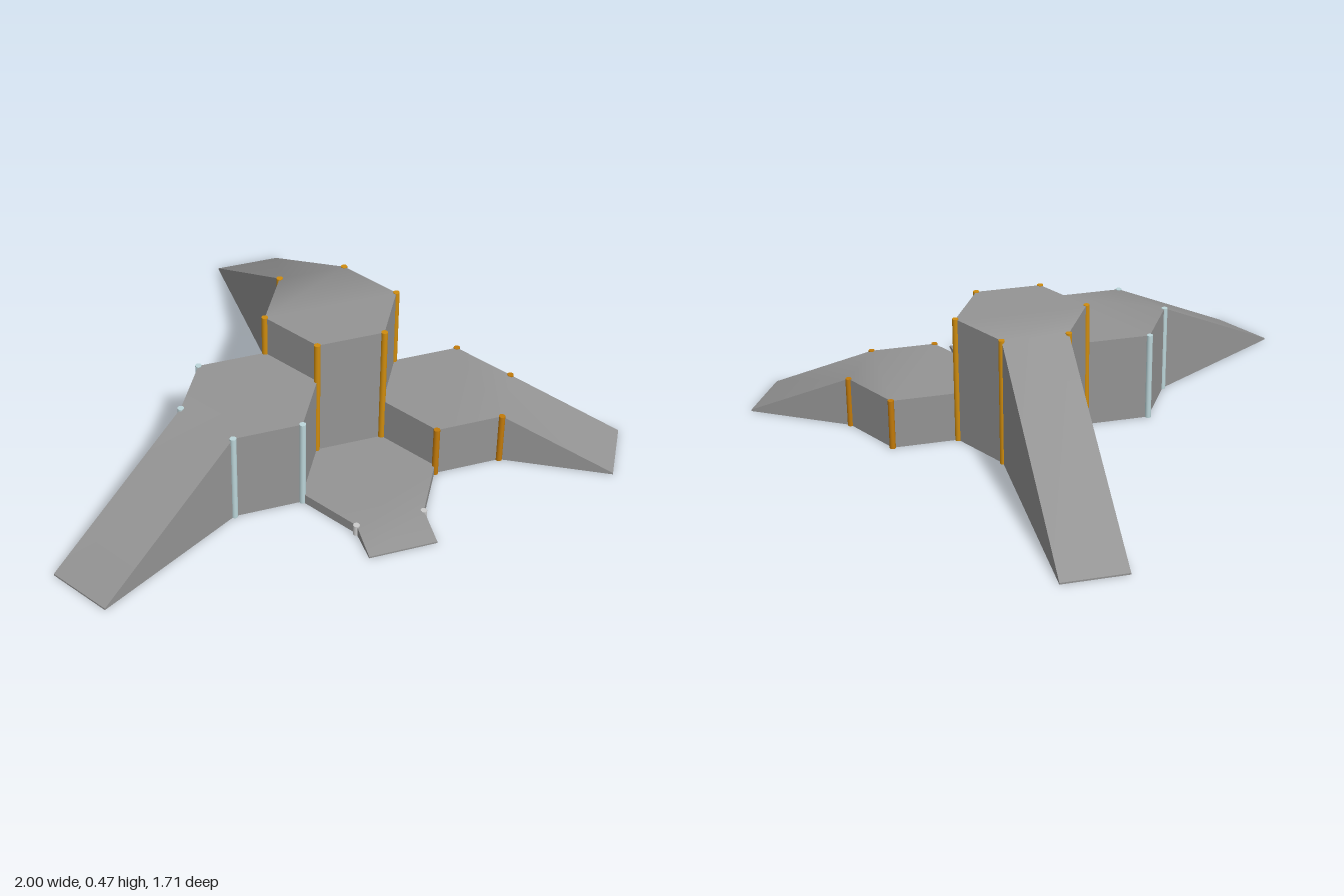
import * as THREE from 'three';

const R = 0.232;                        // hexagon corner radius
const A = R * Math.sqrt(3) / 2;         // hexagon centre to side
const LIP = 0.006;                      // thickness of a ramp's low end

const deckGrey = new THREE.MeshStandardMaterial({ color: 0x949494 });
const wallGrey = new THREE.MeshStandardMaterial({ color: 0x949494, flatShading: true });
const gold = new THREE.MeshStandardMaterial({ color: 0xcf8c0e });
const bronze = new THREE.MeshStandardMaterial({ color: 0xc27a0a });
const paleBlue = new THREE.MeshStandardMaterial({ color: 0xbcd6da });
const silver = new THREE.MeshStandardMaterial({ color: 0xcccccc });

// Each platform: centre, height, ramp heading and length, corners with posts.
// Corner k lies at k * 60 degrees, counted from +x towards +z.
const platforms = [
  { name: 'topStep', x: 0.085, z: 0.126, h: 0.47, turn: 90, run: 0.78, corners: [0, 1, 2, 3, 4, 5], trim: gold },
  { name: 'middleStep', x: -0.263, z: 0.327, h: 0.325, turn: -150, run: 0.583, corners: [1, 2, 3, 4], trim: paleBlue },
  { name: 'lowStep', x: 0.435, z: 0.327, h: 0.185, turn: -30, run: 0.384, corners: [0, 1, 2, 5], trim: bronze },
  { name: 'entryStep', x: 0.085, z: 0.529, h: 0.035, turn: -90, run: 0.123, corners: [1, 2], trim: silver },
];

function addMesh(group, name, geometry, material) {
  const mesh = new THREE.Mesh(geometry, material);
  mesh.name = name;
  group.add(mesh);
  return mesh;
}

function surface(points, index) {
  const geometry = new THREE.BufferGeometry();
  geometry.setAttribute('position', new THREE.Float32BufferAttribute(points.flat(), 3));
  geometry.setIndex(index);
  geometry.computeVertexNormals();
  return geometry;
}

// Cross rows [x, y, half width] from the ramp's foot to the far side of the hexagon
const crossRows = (h, run) => [[A + run, LIP, R / 2], [A, h, R / 2], [0, h, R], [-A, h, R / 2]];

// Walking surface: ramp and hexagon top, shaded smoothly across the fold
function deckGeometry(rows) {
  const points = rows.flatMap(([x, y, w]) => [[x, y, w], [x, y, -w]]);
  const index = [];
  for (let i = 0; i < rows.length - 1; i++) {
    const a = 2 * i;
    index.push(a, a + 1, a + 3, a, a + 3, a + 2);
  }
  return surface(points, index);
}

// Walls around the outline, and the underside
function wallGeometry(rows) {
  const outline = [
    ...rows.map(([x, y, w]) => [x, y, w]),
    ...rows.toReversed().map(([x, y, w]) => [x, y, -w]),
  ];
  const n = outline.length;
  const points = [...outline, ...outline.map(([x, , z]) => [x, 0, z])];
  const index = [];
  for (let i = 0; i < n; i++) {
    const j = (i + 1) % n;
    index.push(n + i, i, j, n + i, j, n + j);
  }
  for (let i = 0; i < rows.length - 1; i++) {
    const a = n + i, b = n + n - 1 - i;
    index.push(a, b - 1, b, a, a + 1, b - 1);
  }
  return surface(points, index);
}

function makePlatform({ name, x, z, h, turn, run, corners, trim }) {
  const group = new THREE.Group();
  group.name = name;
  group.position.set(x, 0, z);

  const rows = crossRows(h, run);
  const heading = THREE.MathUtils.degToRad(turn);
  addMesh(group, 'deckAndRamp', deckGeometry(rows), deckGrey).rotation.y = heading;
  addMesh(group, 'wallsAndBase', wallGeometry(rows), wallGrey).rotation.y = heading;

  // Slim round posts on the corners
  for (const k of corners) {
    const a = k * Math.PI / 3;
    const post = addMesh(group, 'cornerPost', new THREE.CylinderGeometry(0.011, 0.011, h + 0.002, 12), trim);
    post.position.set(R * Math.cos(a), h / 2 + 0.001, R * Math.sin(a));
  }
  return group;
}

export function createModel() {
  const model = new THREE.Group();
  model.name = 'podium';
  for (const platform of platforms) model.add(makePlatform(platform));
  return model;
}
